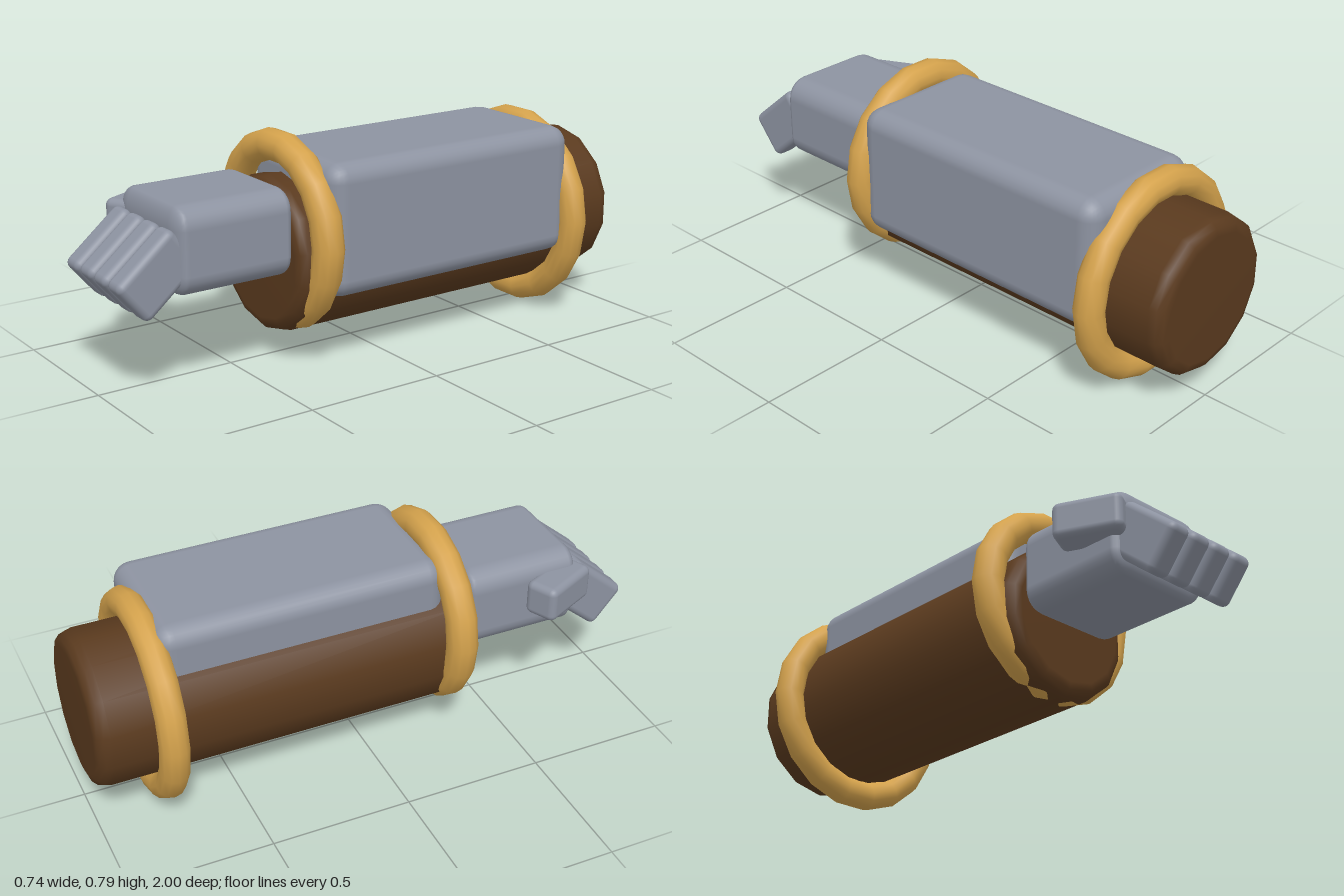
import * as THREE from 'three';
import { RoundedBoxGeometry } from 'three/addons/geometries/RoundedBoxGeometry.js';

const flat = (name, color) => {
  const m = new THREE.MeshStandardMaterial({ color });
  m.name = name;
  return m;
};

export function createModel() {
  const steel = flat('greySteel', 0x8d93a1);
  const brown = flat('brownLeather', 0x5a3a1e);
  const gold = flat('goldTrim', 0xd4a24c);
  const model = new THREE.Group();
  model.name = 'gauntletArm';

  const add = (name, geometry, material, x, y, z) => {
    const mesh = new THREE.Mesh(geometry, material);
    mesh.name = name;
    mesh.position.set(x, y, z);
    model.add(mesh);
    return mesh;
  };

  // Forearm: 14-sided cylinder along z with rounded rims
  const radius = 0.275, half = 0.69, bevel = 0.05;
  const profile = [new THREE.Vector2(0, -half)];
  for (const end of [-1, 1]) {
    for (let i = 0; i <= 3; i++) {
      const a = (end < 0 ? i : 3 - i) * Math.PI / 6;
      profile.push(new THREE.Vector2(
        radius - bevel + bevel * Math.sin(a),
        end * (half - bevel + bevel * Math.cos(a))
      ));
    }
  }
  profile.push(new THREE.Vector2(0, half));
  const arm = new THREE.LatheGeometry(profile, 14).rotateX(Math.PI / 2);
  add('forearm', arm, brown, 0, 0.37, -0.31);

  // Trim rings at the elbow and wrist
  add('elbowRing', new THREE.TorusGeometry(0.32, 0.052, 12, 18), gold, 0, 0.37, -0.76);
  add('wristRing', new THREE.TorusGeometry(0.295, 0.055, 12, 18), gold, 0, 0.445, 0.295);

  // Armour plate over the forearm, offset to its left
  add('armPlate', new RoundedBoxGeometry(0.51, 0.462, 1.04, 3, 0.065), steel, 0.055, 0.491, -0.236);

  // Hand, with tighter rounding along z than across
  const hand = new RoundedBoxGeometry(0.42, 0.3, 0.88, 3, 0.075).scale(1, 1, 0.5);
  add('hand', hand, steel, 0, 0.491, 0.58);

  // Four fingers bent downward
  for (let i = 0; i < 4; i++) {
    const finger = add('finger', new RoundedBoxGeometry(0.088, 0.175, 0.262, 3, 0.025), steel,
      -0.146 + i * 0.0973, 0.431, 0.858);
    finger.rotation.x = 0.7;
  }

  // Thumb angled in towards the fingers
  const thumb = add('thumb', new RoundedBoxGeometry(0.122, 0.13, 0.235, 3, 0.025), steel, -0.229, 0.523, 0.706);
  thumb.rotation.y = 0.45;

  return model;
}
